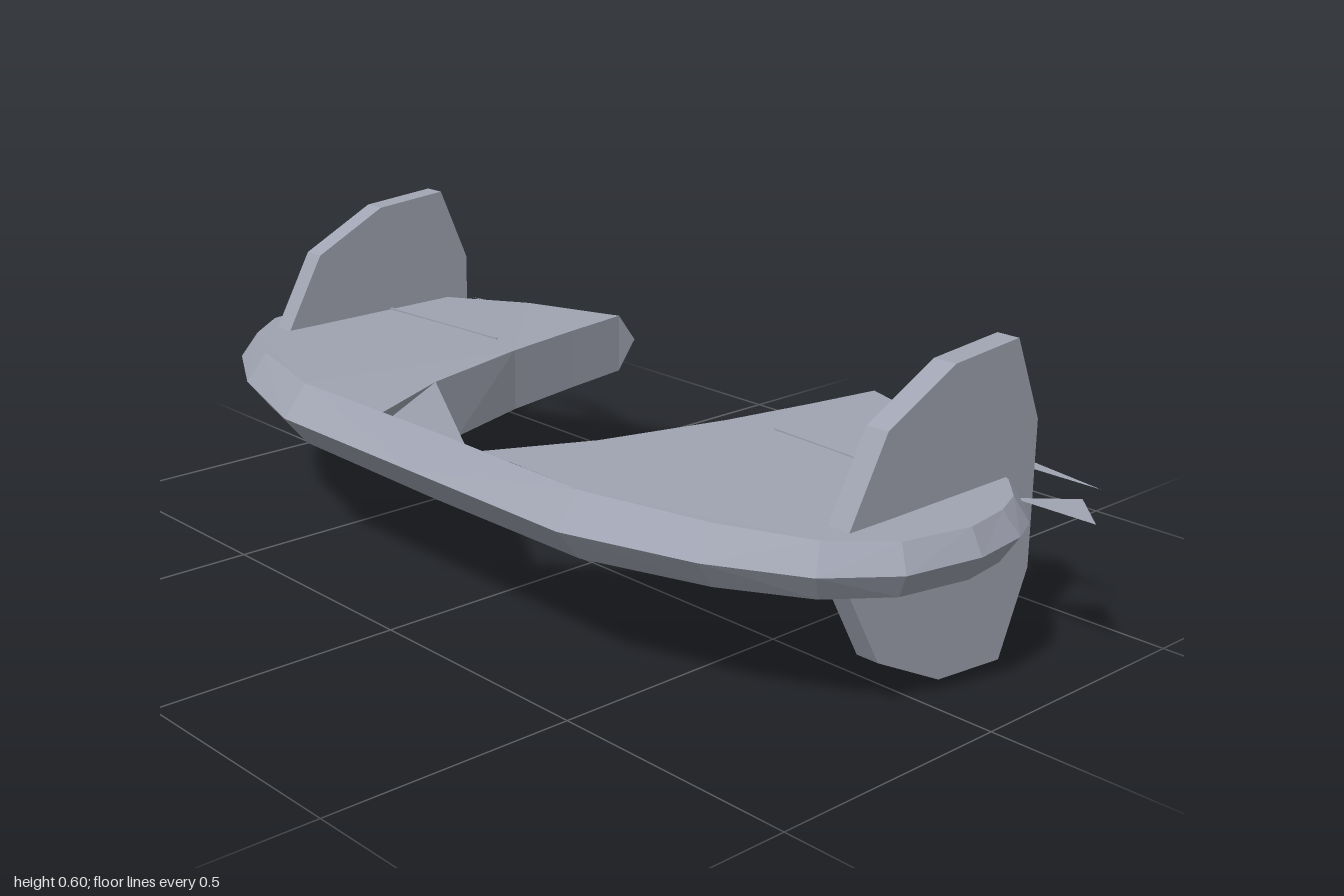
import * as THREE from 'three';

const MID = 0.3;
const half = (x) => 0.066 - 0.022 * x * x; // half thickness of the wing

// Plan outlines (x, z) of one half: sharp outer rim and inset bevel line
const rim = [[0, 0.445], [0.41, 0.445], [0.67, 0.365], [0.84, 0.27], [0.93, 0.155], [0.96, 0],
  [0.945, -0.12], [0.915, -0.185], [0.86, -0.245], [0.6, -0.375], [0.37, -0.455]];
const inset = [[0, 0.393], [0.41, 0.393], [0.66, 0.322], [0.82, 0.24], [0.905, 0.14], [0.935, 0],
  [0.92, -0.1], [0.893, -0.165], [0.84, -0.22], [0.6, -0.342], [0.37, -0.408]];
// Inner edge of the horn, shared by the upper and lower skin
const inner = [[0.345, -0.25], [0.31, -0.06]];

const up = ([x, z]) => [x, MID + half(x), z];
const down = ([x, z]) => [x, MID - half(x), z];
const level = ([x, z]) => [x, MID, z];

// Collects triangles on both sides of the model, each turned to face its hint
function mirroredSurface() {
  const pos = [];
  const tri = (a, b, c, hint) => {
    for (const s of [1, -1]) {
      const [p, q, r] = [a, b, c].map((v) => new THREE.Vector3(v[0] * s, v[1], v[2]));
      const h = new THREE.Vector3(hint[0] * s, hint[1], hint[2]);
      const n = q.clone().sub(p).cross(r.clone().sub(p));
      const order = n.dot(h) > 0 ? [p, q, r] : [p, r, q];
      for (const v of order) pos.push(v.x, v.y, v.z);
    }
  };
  return {
    tri,
    quad(a, b, c, d, hint) { tri(a, b, c, hint); tri(a, c, d, hint); },
    skin(outline, lift, hint) {
      const pts = outline.map((p) => new THREE.Vector2(p[0], p[1]));
      for (const f of THREE.ShapeUtils.triangulateShape(pts, [])) {
        tri(...f.map((i) => lift(outline[i])), hint);
      }
    },
    geometry() {
      const g = new THREE.BufferGeometry();
      g.setAttribute('position', new THREE.Float32BufferAttribute(pos, 3));
      g.computeVertexNormals();
      return g;
    },
  };
}

function wingGeometry() {
  const s = mirroredSurface();
  const notch = [0.24, 0.2];
  const lip = [0.15, 0.393];

  // Upper and lower skins
  s.skin([lip, ...inset.slice(1), ...inner, notch], up, [0, 1, 0]);
  s.skin([...inset, ...inner, [0.25, 0.14], [0, 0.275]], down, [0, -1, 0]);

  // Bevelled outer rim
  for (let i = 0; i < rim.length - 1; i++) {
    const a = rim[i], b = rim[i + 1];
    const out = [(a[1] - b[1]), 0, (b[0] - a[0])];
    const len = Math.hypot(out[0], out[2]);
    const hint = (y) => [out[0] / len, y, out[2] / len];
    s.quad(level(a), level(b), up(inset[i + 1]), up(inset[i]), hint(0.6));
    s.quad(level(a), level(b), down(inset[i + 1]), down(inset[i]), hint(-0.6));
  }

  // Inner walls of the horn
  const end = inset[inset.length - 1];
  s.tri(level(rim[rim.length - 1]), up(end), down(end), [-1, 0, 0]);
  const wall = [end, ...inner];
  for (let i = 0; i < wall.length - 1; i++) {
    s.quad(up(wall[i]), up(wall[i + 1]), down(wall[i + 1]), down(wall[i]), [-1, 0, 0]);
  }
  s.quad(up(inner[1]), up(notch), down([0.25, 0.14]), down(inner[1]), [-1, 0, 0]);

  // Sloping centre panel, set just under the front lip
  const a = [0.15, 0.335, 0.412], e = [0, 0.335, 0.412];
  const slope = [0, 1, -0.5];
  s.tri(a, up(notch), down([0, 0.275]), slope);
  s.tri(a, down([0, 0.275]), e, slope);
  s.tri(up(notch), down([0.25, 0.14]), down([0, 0.275]), slope);
  s.tri(up(lip), up(notch), a, [-1, 0, 0]);
  return s.geometry();
}

// Upright end fin: a many-sided plate, symmetrical about the wing plane
function finGeometry(width) {
  const upper = [[0.187, 0.04], [0.095, 0.205], [-0.07, 0.287], [-0.238, 0.3], [-0.307, 0.14]];
  const lower = upper.map(([z, y]) => [z, -y]).reverse();
  const shape = new THREE.Shape([...upper, ...lower].map(([z, y]) => new THREE.Vector2(-z, y)));
  const g = new THREE.ExtrudeGeometry(shape, { depth: width, bevelEnabled: false });
  g.translate(0, 0, -width / 2);
  g.rotateY(Math.PI / 2);
  return g;
}

// Flat blades that stick out behind the wing
function bladeGeometry(points) {
  const s = mirroredSurface();
  const [a, b, c] = points.map(level);
  s.tri(a, b, c, [0, 1, 0]);
  return s.geometry();
}

export function createModel() {
  const group = new THREE.Group();
  const hull = new THREE.MeshStandardMaterial({ color: 0xa0a4b2, flatShading: true, side: THREE.DoubleSide });
  hull.name = 'hullGrey';

  const add = (name, geometry) => {
    const mesh = new THREE.Mesh(geometry, hull);
    mesh.name = name;
    group.add(mesh);
    return mesh;
  };

  add('crescentWing', wingGeometry());
  add('flapEdges', bladeGeometry([[0.46, -0.415], [0.68, -0.455], [0.9, -0.415]]));
  add('tipBlades', bladeGeometry([[0.82, -0.263], [0.905, -0.35], [0.995, -0.263]]));

  for (const [side, s] of [['left', 1], ['right', -1]]) {
    add(side + 'Fin', finGeometry(0.047)).position.set(s * 0.806, MID, 0);
    // Hinge seams above and below
    for (const v of [1, -1]) {
      const seam = add(side + 'FlapSeam', new THREE.BoxGeometry(0.39, 0.004, 0.004));
      seam.position.set(s * 0.6, MID + v * half(0.6), -0.09);
      seam.rotation.z = -s * v * 0.026;
    }
  }
  return group;
}
